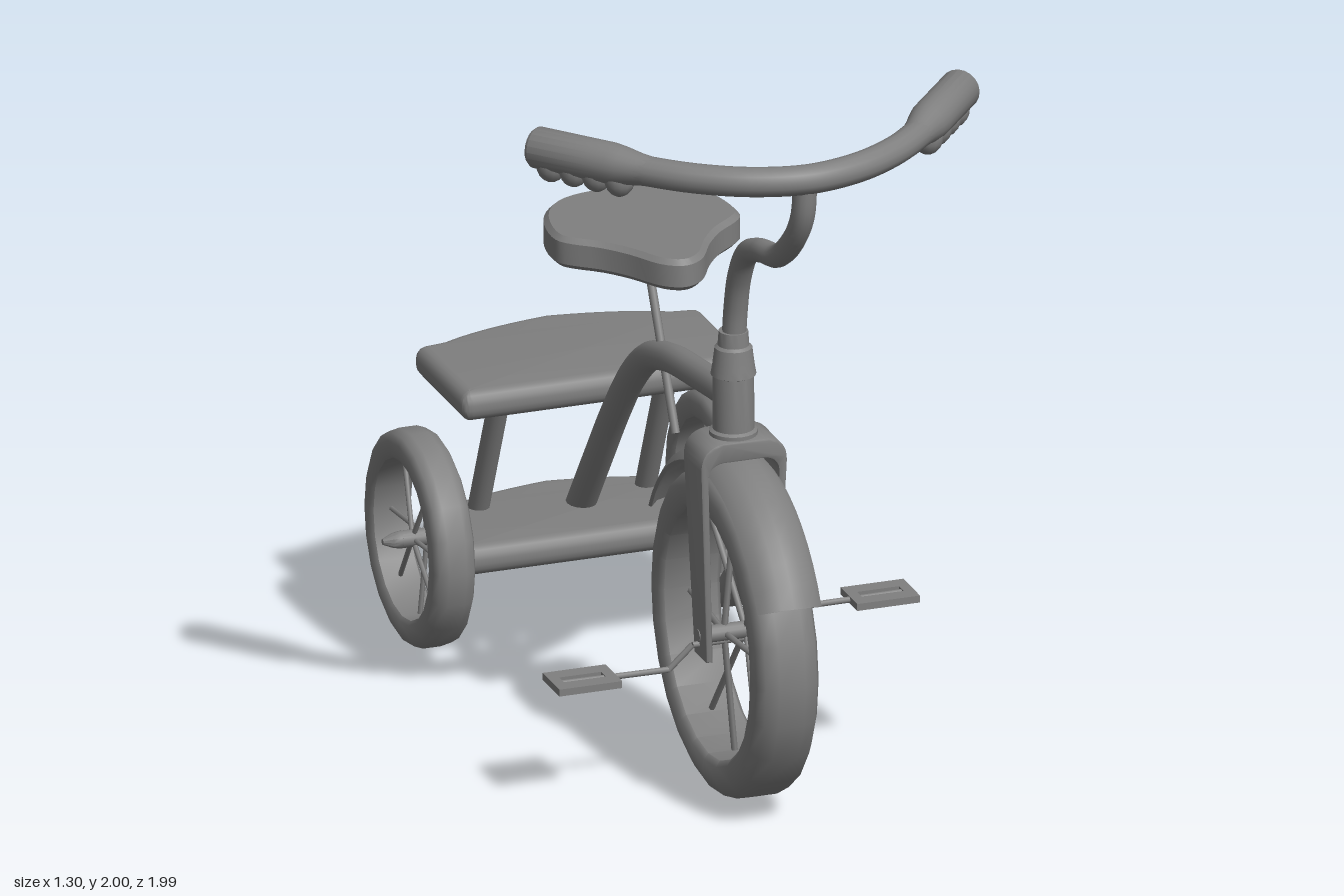
import * as THREE from 'three';
import { toCreasedNormals } from 'three/addons/utils/BufferGeometryUtils.js';

const mat = new THREE.MeshStandardMaterial({ color: 0x808080 });
const matDouble = new THREE.MeshStandardMaterial({ color: 0x808080, side: THREE.DoubleSide });
const V = (x, y, z) => new THREE.Vector3(x, y, z);
const P = (x, y) => new THREE.Vector2(x, y);
const CX = -0.035; // the frame's centre line

export function createModel() {
  const root = new THREE.Group();
  root.name = 'tricycle';

  const add = (name, geo, parent = root, material = mat) => {
    const m = new THREE.Mesh(geo, material);
    m.name = name;
    parent.add(m);
    return m;
  };
  // Stand a geometry that runs along y at a, pointing to b
  const aim = (mesh, a, b) => {
    mesh.position.copy(a);
    mesh.quaternion.setFromUnitVectors(V(0, 1, 0), b.clone().sub(a).normalize());
    return mesh;
  };
  const rod = (name, a, b, r, parent = root, seg = 8) => {
    const len = a.distanceTo(b);
    const g = new THREE.CylinderGeometry(r, r, len, seg).translate(0, len / 2, 0);
    return aim(add(name, g, parent), a, b);
  };
  const pipe = (name, pts, r, seg = 40, sides = 14) =>
    add(name, new THREE.TubeGeometry(new THREE.CatmullRomCurve3(pts.map(p => V(...p))), seg, r, sides), root, matDouble);
  const lathe = (pts, seg, angle = 0.7) =>
    toCreasedNormals(new THREE.LatheGeometry(pts.map(p => P(...p)), seg), angle);
  // Horizontal slab with a bevelled rim between y0 and y1; outline given in x, z
  const slab = (name, shape, y0, y1, bevel, bevelSegments) => {
    const g = new THREE.ExtrudeGeometry(shape, {
      depth: y1 - y0 - 2 * bevel, bevelThickness: bevel, bevelSize: bevel, bevelOffset: -bevel,
      bevelSegments, curveSegments: 10,
    });
    g.rotateX(Math.PI / 2).translate(0, y1 - bevel, 0);
    return add(name, toCreasedNormals(g, 0.6));
  };

  // Wheel: rounded tyre, hub and spokes, axle along x
  const wheel = (name, x, y, z, R, inner, w, seg, spokeAngles, spokeR) => {
    const g = new THREE.Group();
    g.name = name;
    g.position.set(x, y, z);
    root.add(g);
    const h = w / 2, t = R - inner;
    const tyre = lathe([
      [inner, -h * 0.85], [inner + t * 0.15, -h], [R - t * 0.4, -h], [R - t * 0.12, -h * 0.82], [R, -h * 0.42],
      [R, h * 0.42], [R - t * 0.12, h * 0.82], [R - t * 0.4, h], [inner + t * 0.15, h], [inner, h * 0.85], [inner, -h * 0.85],
    ], seg, 0.9).rotateZ(Math.PI / 2);
    add('tyre', tyre, g);
    rod('hub', V(-h * 0.9, 0, 0), V(h * 0.9, 0, 0), 0.024, g, 14);
    spokeAngles.forEach((deg, i) => {
      const a = deg * Math.PI / 180, s = (i % 2 ? 1 : -1) * h * 0.35;
      rod('spoke', V(s, 0, 0), V(0, Math.sin(a) * (inner + 0.01), Math.cos(a) * (inner + 0.01)), spokeR, g, 6);
    });
    return g;
  };
  wheel('frontWheel', CX + 0.007, 0.455, 0.46, 0.453, 0.345, 0.178, 24, [0, 54, 90, 126, 182, 238, 270, 302], 0.009);
  const rearAngles = [0, 32, 62, 90, 122, 180, 228, 270, 310];
  for (const [side, x, s] of [['right', -0.505, -1], ['left', 0.357, 1]]) {
    const w = wheel(side + 'RearWheel', x, 0.357, -0.697, 0.3, 0.222, 0.12, 20, rearAngles, 0.007);
    // Pointed axle cap
    const cap = lathe([[0, 0], [0.024, 0], [0.024, 0.06], [0.02, 0.08], [0.008, 0.107], [0, 0.11]], 12);
    aim(add('axleCap', cap, w), V(0, 0, 0), V(s, 0, 0));
  }
  rod('rearAxle', V(-0.5, 0.357, -0.697), V(0.35, 0.357, -0.697), 0.018, root, 10);

  // Fender: thin curved band over the front wheel
  const band = [[0.476, -0.092], [0.5, -0.072], [0.516, -0.036], [0.521, 0], [0.516, 0.036], [0.5, 0.072], [0.476, 0.092],
    [0.469, 0.085], [0.49, 0.062], [0.506, 0], [0.49, -0.062], [0.469, -0.085], [0.476, -0.092]];
  const fender = new THREE.LatheGeometry(band.map(p => P(...p)), 18, 0.47, Math.PI - 0.94);
  fender.rotateZ(Math.PI / 2).translate(CX + 0.007, 0.455, 0.46);
  add('fender', toCreasedNormals(fender, 0.8), root, matDouble);

  // Fork: an arched strap, tapering in depth toward the axle
  const f = new THREE.Shape();
  f.moveTo(-0.1, 0.395);
  f.lineTo(-0.124, 0.96);
  f.quadraticCurveTo(-0.124, 1.025, -0.06, 1.033);
  f.lineTo(0.06, 1.033);
  f.quadraticCurveTo(0.124, 1.025, 0.124, 0.96);
  f.lineTo(0.1, 0.395);
  f.lineTo(0.082, 0.395);
  f.lineTo(0.1, 0.93);
  f.quadraticCurveTo(0.1, 0.97, 0.06, 0.975);
  f.lineTo(-0.06, 0.975);
  f.quadraticCurveTo(-0.1, 0.97, -0.1, 0.93);
  f.lineTo(-0.082, 0.395);
  f.closePath();
  const fork = new THREE.ExtrudeGeometry(f, {
    depth: 0.13, bevelThickness: 0.006, bevelSize: 0.006, bevelOffset: -0.006, bevelSegments: 2, curveSegments: 8,
  }).translate(0, 0, -0.065);
  const fp = fork.attributes.position;
  for (let i = 0; i < fp.count; i++) fp.setZ(i, fp.getZ(i) * (0.7 + 0.3 * Math.min(1, (fp.getY(i) - 0.4) / 0.6)));
  add('fork', toCreasedNormals(fork, 0.7)).position.set(CX + 0.005, 0, 0.469);
  rod('forkAxle', V(CX - 0.1, 0.455, 0.46), V(CX + 0.11, 0.455, 0.46), 0.018, root, 12);

  // Head tube with flange and tapered collar
  const head = lathe([[0, 1.02], [0.066, 1.035], [0.066, 1.046], [0.057, 1.052], [0.056, 1.205], [0.062, 1.208],
    [0.058, 1.23], [0.051, 1.285], [0.043, 1.292], [0.04, 1.332], [0, 1.334]], 24);
  add('headTube', head).position.set(CX - 0.003, 0, 0.475);

  // Curved stem and handlebar
  pipe('stem', [[-0.037, 1.3, 0.475], [-0.035, 1.4, 0.485], [-0.035, 1.5, 0.513], [-0.033, 1.59, 0.57],
    [-0.03, 1.635, 0.67], [-0.024, 1.66, 0.78], [-0.016, 1.735, 0.875], [-0.009, 1.83, 0.935], [-0.006, 1.945, 0.948]], 0.033);
  pipe('handlebar', [[-0.5, 1.945, 0.62], [-0.38, 1.945, 0.76], [-0.28, 1.945, 0.85], [-0.15, 1.945, 0.925], [0, 1.945, 0.958],
    [0.15, 1.945, 0.925], [0.28, 1.945, 0.85], [0.38, 1.945, 0.76], [0.5, 1.945, 0.62]], 0.041, 48);

  // Grips with finger bumps underneath
  for (const s of [-1, 1]) {
    const a = V(s * 0.612, 1.945, 0.48), b = V(s * 0.375, 1.945, 0.765);
    const grip = new THREE.Group();
    grip.name = s < 0 ? 'rightGrip' : 'leftGrip';
    root.add(grip);
    const body = lathe([[0, 0], [0.049, 0], [0.057, 0.01], [0.057, 0.245], [0.053, 0.28], [0.044, 0.33], [0.04, 0.37], [0, 0.37]], 20);
    aim(add('gripBody', body, grip), a, b);
    for (let i = 0; i < 4; i++) {
      const bump = add('fingerBump', new THREE.SphereGeometry(1, 14, 10), grip);
      bump.position.lerpVectors(a, b, 0.15 + i * 0.19).setY(1.907);
      bump.scale.set(0.043, 0.052, 0.043);
    }
  }

  // Backbone tube from the head down to the lower deck
  pipe('backbone', [[CX, 1.13, 0.45], [CX, 1.125, 0.38], [CX, 1.1, 0.195], [CX, 1.065, -0.02], [CX, 1.01, -0.18],
    [CX, 0.905, -0.315], [CX, 0.755, -0.445], [CX, 0.575, -0.58], [CX, 0.35, -0.745]], 0.041);

  // Rear decks: straight front, bowed back
  const deckShape = (cx, hw, front, back, peak) => {
    const s = new THREE.Shape(), c = 0.03;
    s.moveTo(cx - hw + c, front);
    s.lineTo(cx + hw - c, front);
    s.quadraticCurveTo(cx + hw, front, cx + hw, front - c);
    s.lineTo(cx + hw, back + c);
    s.quadraticCurveTo(cx + hw, back, cx + hw - c, back - 0.004);
    s.lineTo(cx + hw * 0.8, back - 0.012);
    s.quadraticCurveTo(cx + hw * 0.5, peak + 0.025, cx, peak);
    s.quadraticCurveTo(cx - hw * 0.5, peak + 0.025, cx - hw * 0.8, back - 0.012);
    s.lineTo(cx - hw + c, back - 0.004);
    s.quadraticCurveTo(cx - hw, back, cx - hw, back + c);
    s.lineTo(cx - hw, front - c);
    s.quadraticCurveTo(cx - hw, front, cx - hw + c, front);
    return s;
  };
  slab('upperDeck', deckShape(-0.043, 0.412, -0.493, -0.885, -0.985), 0.75, 0.837, 0.036, 4);
  slab('lowerDeck', deckShape(-0.07, 0.385, -0.493, -0.825, -0.918), 0.302, 0.388, 0.036, 4);
  for (const x of [-0.307, 0.172]) rod('deckPost', V(x, 0.36, -0.79), V(x, 0.78, -0.607), 0.03, root, 14);

  // Seat: wide at the back, narrow nose
  const half = [[0.1, -0.475], [0.18, -0.44], [0.235, -0.37], [0.262, -0.28], [0.264, -0.2], [0.235, -0.155],
    [0.17, -0.1], [0.115, -0.03], [0.07, 0.05], [0.035, 0.085]];
  const outline = [P(0, -0.482), ...half.map(p => P(...p)), P(0, 0.097), ...half.slice().reverse().map(p => P(-p[0], p[1]))];
  const smooth = new THREE.SplineCurve([...outline, outline[0]]).getPoints(66);
  smooth.pop();
  slab('seat', new THREE.Shape(smooth), 1.3, 1.39, 0.014, 1).position.x = CX;
  rod('seatPost', V(CX, 0.86, 0.017), V(CX, 1.32, -0.223), 0.012, root, 10);

  // Cranks and slotted pedals, on opposite sides of the axle
  for (const s of [-1, 1]) {
    const g = new THREE.Group();
    g.name = s < 0 ? 'rightCrank' : 'leftCrank';
    root.add(g);
    const y = s < 0 ? 0.365 : 0.495, x0 = s < 0 ? -0.46 : 0.393;
    const pts = [V(CX, 0.43, 0.46), V(CX + s * 0.115, 0.43, 0.46), V(CX + s * 0.18, y, 0.453), V(x0 + s * 0.085, y, 0.447)];
    for (let i = 0; i < 3; i++) rod('crankArm', pts[i], pts[i + 1], 0.009, g, 8);
    const rect = (target, x, z, w, d) => {
      target.moveTo(x - w, z - d); target.lineTo(x + w, z - d); target.lineTo(x + w, z + d); target.lineTo(x - w, z + d);
      target.closePath();
      return target;
    };
    const shape = rect(new THREE.Shape(), x0, 0.447, 0.09, 0.065);
    shape.holes.push(rect(new THREE.Path(), x0, 0.447, 0.06, 0.018));
    const plate = new THREE.ExtrudeGeometry(shape, { depth: 0.02, bevelEnabled: false }).rotateX(Math.PI / 2).translate(0, y + 0.01, 0);
    add('pedal', plate, g);
  }
  return root;
}
